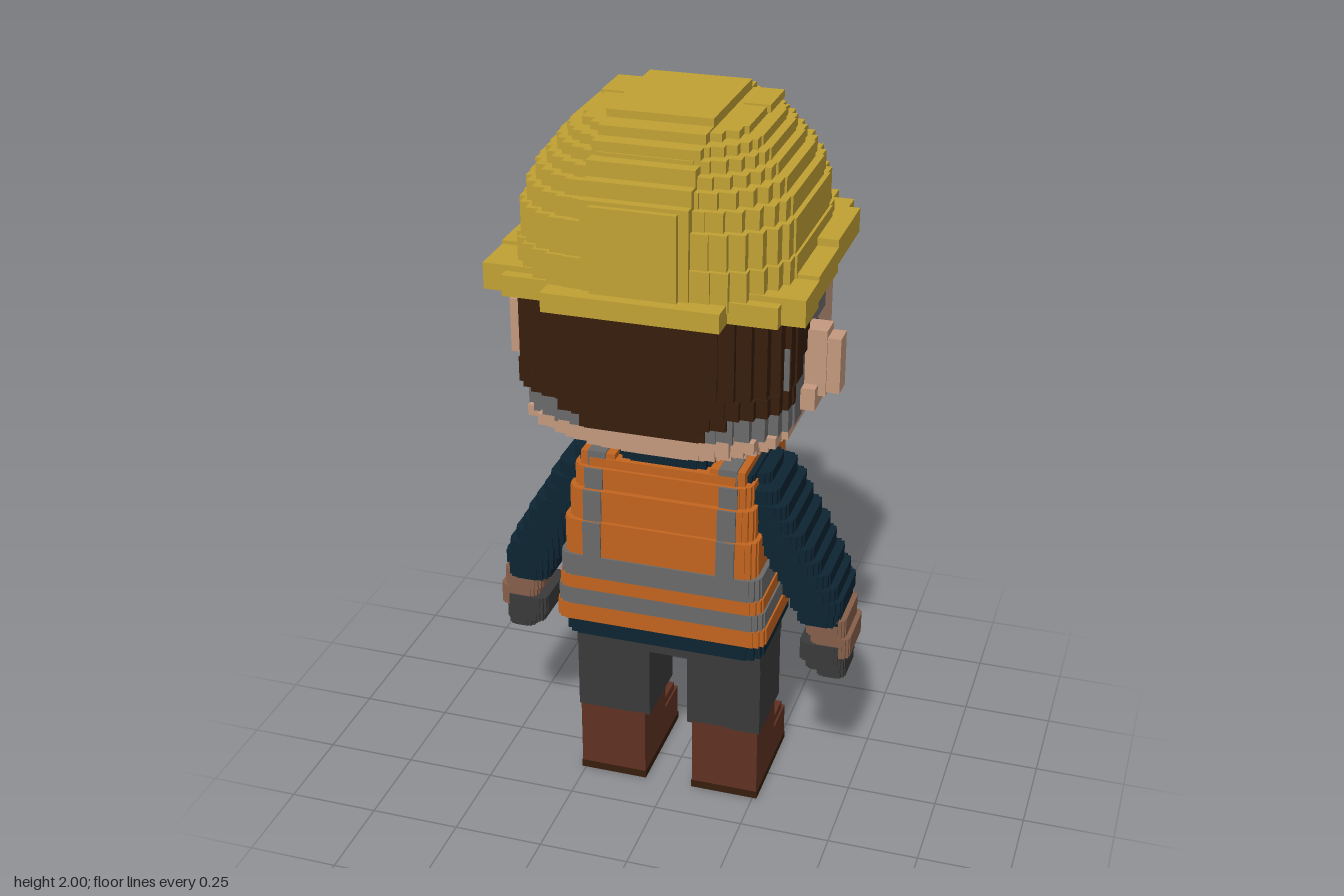
import * as THREE from 'three';

const M = {};
const colours = {
  helmetYellow: 0xc2a235, skin: 0xc59a7f, stubble: 0x875f4a, hairBrown: 0x361d0c, grey: 0x6c6b6b,
  charcoal: 0x3a3a3a, navy: 0x0d2533, vestOrange: 0xc4651f, bootBrown: 0x603222, noseBrown: 0x9c5c42,
};
for (const [name, color] of Object.entries(colours)) {
  M[name] = new THREE.MeshStandardMaterial({ color });
  M[name].name = name;
}

// Box given by its extents; mirrored onto -x when pair is set
function box(g, name, mat, x0, x1, y0, y1, z0, z1, pair = false) {
  for (const s of pair ? [1, -1] : [1]) {
    const m = new THREE.Mesh(new THREE.BoxGeometry(x1 - x0, y1 - y0, z1 - z0), mat);
    m.position.set(s * (x0 + x1) / 2, (y0 + y1) / 2, (z0 + z1) / 2);
    m.name = name;
    g.add(m);
  }
}
const pair = (g, name, mat, ...e) => box(g, name, mat, ...e, true);

// Horizontal slab with stair-stepped corners: r0 at the z0 end, r1 at the z1 end
function slab(g, name, mat, y0, y1, hx, z0, z1, r0 = 0, r1 = r0, cx = 0) {
  const corner = (r, z, dir) => {
    const n = r > 0.12 ? 6 : 3, out = [];
    for (let i = 0; i <= n && r > 0; i++) {
      const a = i / n * Math.PI / 2, ix = r * (1 - Math.sin(a)), iz = r * (1 - Math.cos(a));
      if (i) out.push([hx - r * (1 - Math.sin((i - 1) / n * Math.PI / 2)), z - dir * iz]);
      out.push([hx - ix, z - dir * iz]);
    }
    return out.length ? out : [[hx, z]];
  };
  const half = [...corner(r1, z1, 1), ...corner(r0, z0, -1).reverse()];
  const all = [...half, ...half.slice().reverse().map(([x, z]) => [-x, z])];
  const shape = new THREE.Shape(all.map(([x, z]) => new THREE.Vector2(x, -z)));
  const geo = new THREE.ExtrudeGeometry(shape, { depth: y1 - y0, bevelEnabled: false });
  geo.rotateX(-Math.PI / 2).translate(cx, y0, 0);
  const m = new THREE.Mesh(geo, mat);
  m.name = name;
  g.add(m);
}

function group(parent, name) {
  const g = new THREE.Group();
  g.name = name;
  parent.add(g);
  return g;
}

function helmet(root) {
  const g = group(root, 'helmet'), Y = M.helmetYellow;
  // brim strips rising toward the face: z0, z1, half width, bottom, top
  for (const [z0, z1, hx, y0, y1] of [
    [0.36, 0.425, 0.225, 1.56, 1.61], [0.33, 0.36, 0.35, 1.56, 1.615], [0.2, 0.33, 0.41, 1.56, 1.63],
    [0, 0.2, 0.41, 1.575, 1.64], [-0.24, 0, 0.41, 1.595, 1.66], [-0.3, -0.24, 0.38, 1.6, 1.66],
    [-0.36, -0.3, 0.325, 1.605, 1.66], [-0.405, -0.36, 0.2, 1.61, 1.66]])
    box(g, 'brim', Y, -hx, hx, y0, y1, z0, z1);
  // dome layers: bottom, top, half width, z0, z1, corner radius
  for (const [y0, y1, hx, z0, z1, r] of [
    [1.59, 1.69, 0.355, -0.33, 0.375, 0.17], [1.69, 1.78, 0.348, -0.32, 0.365, 0.17],
    [1.78, 1.83, 0.335, -0.305, 0.35, 0.17], [1.83, 1.87, 0.315, -0.29, 0.335, 0.17],
    [1.87, 1.9, 0.29, -0.27, 0.315, 0.16], [1.9, 1.93, 0.268, -0.25, 0.29, 0.15],
    [1.93, 1.955, 0.245, -0.22, 0.26, 0.13], [1.955, 1.975, 0.21, -0.19, 0.22, 0.09]])
    slab(g, 'dome', Y, y0, y1, hx, z0, z1, r);
  // central ridge
  for (const [y0, y1, z0, z1] of [[1.6, 1.84, -0.335, 0.38], [1.84, 1.88, -0.315, 0.355],
    [1.88, 1.92, -0.29, 0.325], [1.92, 1.955, -0.255, 0.285], [1.955, 1.98, -0.21, 0.24], [1.98, 2, -0.165, 0.175]])
    box(g, 'ridge', Y, -0.135, 0.135, y0, y1, z0, z1);
  box(g, 'backPanel', Y, -0.11, 0.11, 1.6, 1.83, 0.37, 0.395);
  pair(g, 'vent', Y, 0.15, 0.22, 1.96, 1.98, -0.165, -0.03);

  const l = group(g, 'headlamp');
  box(l, 'lampHousing', M.charcoal, -0.085, 0.085, 1.71, 1.87, -0.405, -0.3);
  box(l, 'lampTop', M.charcoal, -0.085, 0.085, 1.84, 1.89, -0.42, -0.32);
  box(l, 'lampBottom', M.charcoal, -0.085, 0.085, 1.69, 1.74, -0.42, -0.32);
  pair(l, 'lampSide', M.charcoal, 0.06, 0.11, 1.72, 1.86, -0.42, -0.32);
  box(l, 'lampLens', M.skin, -0.055, 0.055, 1.745, 1.835, -0.412, -0.4);
  box(l, 'lampTrim', M.stubble, -0.06, 0.06, 1.85, 1.885, -0.427, -0.418);
}

function head(root) {
  const g = group(root, 'head');
  slab(g, 'skull', M.skin, 1.22, 1.6, 0.345, -0.28, 0.32, 0.04, 0.15);
  // jaw narrows downward; its face half is stubbled
  for (const [y0, y1, hx, z0, z1, r] of [[1.195, 1.225, 0.345, -0.285, 0.33, 0.06],
    [1.165, 1.195, 0.32, -0.285, 0.305, 0.07], [1.135, 1.165, 0.29, -0.27, 0.275, 0.08],
    [1.11, 1.135, 0.25, -0.235, 0.235, 0.08], [1.085, 1.11, 0.205, -0.185, 0.19, 0.07]]) {
    slab(g, 'jawBack', M.skin, y0, y1, hx, 0.02, z1, 0, r * 2);
    slab(g, 'jawStubble', M.stubble, y0, y1, hx, z0, 0.02, r, 0);
  }
  // sideburn stubble climbing to the ear
  [[1.22, 1.25, -0.2], [1.25, 1.28, -0.13], [1.28, 1.31, -0.07], [1.31, 1.35, -0.03]].forEach(([y0, y1, z0]) =>
    pair(g, 'cheekStubble', M.stubble, 0.342, 0.35, y0, y1, z0, 0.02));
  // greying hair around the ears and nape
  slab(g, 'napeHair', M.grey, 1.22, 1.3, 0.352, 0.1, 0.335, 0, 0.16);
  pair(g, 'templeHair', M.grey, 0.34, 0.354, 1.3, 1.46, 0.03, 0.25);
  pair(g, 'templeHair', M.grey, 0.34, 0.354, 1.43, 1.505, -0.12, 0.1);
  pair(g, 'earShadow', M.charcoal, 0.34, 0.358, 1.33, 1.43, -0.035, 0.02);
  // dark hair: bottom, top, half width, front z, back z, corner
  for (const [y0, y1, hx, z0, z1, r] of [[1.505, 1.59, 0.362, -0.16, 0.362, 0.16],
    [1.45, 1.505, 0.362, 0.08, 0.362, 0.16], [1.4, 1.45, 0.362, 0.1, 0.362, 0.16],
    [1.35, 1.4, 0.362, 0.14, 0.362, 0.16], [1.3, 1.35, 0.36, 0.2, 0.36, 0.14],
    [1.26, 1.3, 0.26, 0.24, 0.352, 0.08], [1.22, 1.26, 0.18, 0.25, 0.342, 0.03]])
    slab(g, 'hair', M.hairBrown, y0, y1, hx, z0, z1, 0, r);
  // ears
  pair(g, 'ear', M.skin, 0.33, 0.41, 1.27, 1.45, 0.02, 0.09);
  pair(g, 'earRim', M.skin, 0.4, 0.445, 1.28, 1.43, 0.025, 0.085);
  pair(g, 'earLobe', M.skin, 0.33, 0.39, 1.24, 1.3, 0.02, 0.12);
  // face
  pair(g, 'brow', M.hairBrown, 0.09, 0.27, 1.515, 1.555, -0.3, -0.27);
  pair(g, 'browTip', M.hairBrown, 0.23, 0.3, 1.495, 1.53, -0.296, -0.27);
  pair(g, 'eye', M.grey, 0.1, 0.245, 1.4, 1.47, -0.286, -0.278);
  pair(g, 'pupil', M.charcoal, 0.145, 0.195, 1.41, 1.47, -0.289, -0.281);
  pair(g, 'eyelid', M.skin, 0.09, 0.255, 1.47, 1.485, -0.292, -0.275);
  pair(g, 'lowerLid', M.skin, 0.1, 0.245, 1.385, 1.4, -0.292, -0.275);
  box(g, 'nose', M.noseBrown, -0.04, 0.04, 1.32, 1.38, -0.335, -0.27);
  box(g, 'noseBridge', M.noseBrown, -0.027, 0.027, 1.38, 1.43, -0.32, -0.27);
  box(g, 'moustache', M.stubble, -0.1, 0.1, 1.255, 1.285, -0.292, -0.275);
  pair(g, 'moustacheEnd', M.stubble, 0.09, 0.15, 1.21, 1.265, -0.29, -0.275);
  pair(g, 'jawShade', M.stubble, 0.2, 0.342, 1.22, 1.255, -0.286, -0.24);
  box(g, 'lip', M.skin, -0.08, 0.08, 1.195, 1.235, -0.293, -0.275);
}

function torso(root) {
  const g = group(root, 'torso');
  slab(g, 'shirtHem', M.navy, 0.5, 0.57, 0.28, -0.155, 0.19, 0.04);
  slab(g, 'shirt', M.navy, 0.55, 1.04, 0.24, -0.155, 0.16, 0.03);
  slab(g, 'collar', M.navy, 1.02, 1.095, 0.14, -0.17, 0.16, 0.05);
  box(g, 'throat', M.skin, -0.04, 0.04, 1.03, 1.09, -0.178, -0.16);
  // vest bands: material, bottom, top, half width, front z, back z, opening half width
  const v = group(g, 'vest'), O = M.vestOrange, G = M.grey;
  for (const [mat, y0, y1, hx, z0, z1, gap] of [
    [O, 0.56, 0.61, 0.295, -0.185, 0.215, 0.075], [G, 0.61, 0.66, 0.29, -0.185, 0.215, 0.075],
    [O, 0.66, 0.7, 0.285, -0.185, 0.215, 0.075], [G, 0.7, 0.765, 0.28, -0.185, 0.215, 0.075],
    [O, 0.765, 0.87, 0.268, -0.18, 0.21, 0.075], [O, 0.87, 0.96, 0.256, -0.175, 0.2, 0.08],
    [O, 0.96, 1.02, 0.245, -0.17, 0.185, 0.105]]) {
    slab(v, 'vestBack', mat, y0, y1, hx, -0.05, z1, 0, 0.03);
    pair(v, 'vestFront', mat, gap, hx, y0, y1, z0, -0.04);
    if (y0 > 0.76) {
      pair(v, 'backStrap', G, 0.16, 0.21, y0, y1, z1 - 0.01, z1 + 0.006);
      pair(v, 'frontStrap', G, 0.15, 0.2, y0, y1, z0 - 0.006, z0 + 0.01);
    }
  }
  pair(v, 'shoulder', O, 0.13, 0.225, 1.0, 1.06, -0.16, 0.17);
  box(v, 'vestNeck', O, -0.2, 0.2, 1.0, 1.045, 0.13, 0.175);
  pair(v, 'shoulderStrap', G, 0.155, 0.205, 1.02, 1.064, -0.164, 0.174);
}

function arms(root) {
  for (const s of [1, -1]) {
    const g = group(root, s > 0 ? 'leftArm' : 'rightArm');
    // sleeve rows: bottom, inner x, outer x, front z, back z
    let top = 1.03;
    for (const [y, a, b, z0, z1] of [[1.0, 0.2, 0.275, -0.065, 0.11], [0.96, 0.21, 0.305, -0.1, 0.145],
      [0.92, 0.22, 0.33, -0.105, 0.15], [0.88, 0.235, 0.35, -0.105, 0.15], [0.84, 0.25, 0.375, -0.105, 0.15],
      [0.8, 0.265, 0.4, -0.105, 0.145], [0.76, 0.28, 0.42, -0.1, 0.14], [0.72, 0.3, 0.445, -0.095, 0.13],
      [0.68, 0.315, 0.465, -0.09, 0.13], [0.64, 0.335, 0.48, -0.09, 0.125], [0.6, 0.355, 0.475, -0.085, 0.12]]) {
      slab(g, 'sleeve', M.navy, y, top, (b - a) / 2, z0, z1, 0.03, 0.03, s * (a + b) / 2);
      top = y;
    }
    slab(g, 'hand', M.stubble, 0.56, 0.615, 0.055, -0.07, 0.105, 0.02, 0.02, s * 0.435);
    slab(g, 'hand', M.stubble, 0.5, 0.56, 0.055, -0.07, 0.105, 0.02, 0.02, s * 0.448);
    slab(g, 'glove', M.charcoal, 0.48, 0.535, 0.06, -0.06, 0.11, 0.02, 0.02, s * 0.425);
    slab(g, 'glove', M.charcoal, 0.45, 0.5, 0.055, -0.06, 0.1, 0.02, 0.02, s * 0.435);
    slab(g, 'fingers', M.charcoal, 0.425, 0.45, 0.04, -0.05, 0.09, 0.02, 0.02, s * 0.45);
  }
}

function legs(root) {
  const g = group(root, 'legs');
  box(g, 'trouserTop', M.charcoal, -0.265, 0.265, 0.435, 0.51, -0.1, 0.13);
  pair(g, 'trouserLeg', M.charcoal, 0.055, 0.265, 0.22, 0.44, -0.09, 0.125);
  pair(g, 'thighPocket', M.charcoal, 0.1, 0.22, 0.29, 0.4, -0.125, -0.085);
  pair(g, 'bootShaft', M.bootBrown, 0.07, 0.26, 0.02, 0.225, -0.065, 0.125);
  pair(g, 'bootInstep', M.bootBrown, 0.075, 0.255, 0.02, 0.14, -0.165, -0.06);
  pair(g, 'bootToe', M.bootBrown, 0.07, 0.26, 0.02, 0.115, -0.185, -0.06);
  pair(g, 'sole', M.hairBrown, 0.068, 0.262, 0, 0.022, -0.187, 0.127);
}

export function createModel() {
  const root = new THREE.Group();
  root.name = 'worker';
  [helmet, head, torso, arms, legs].forEach((build) => build(root));
  return root;
}
